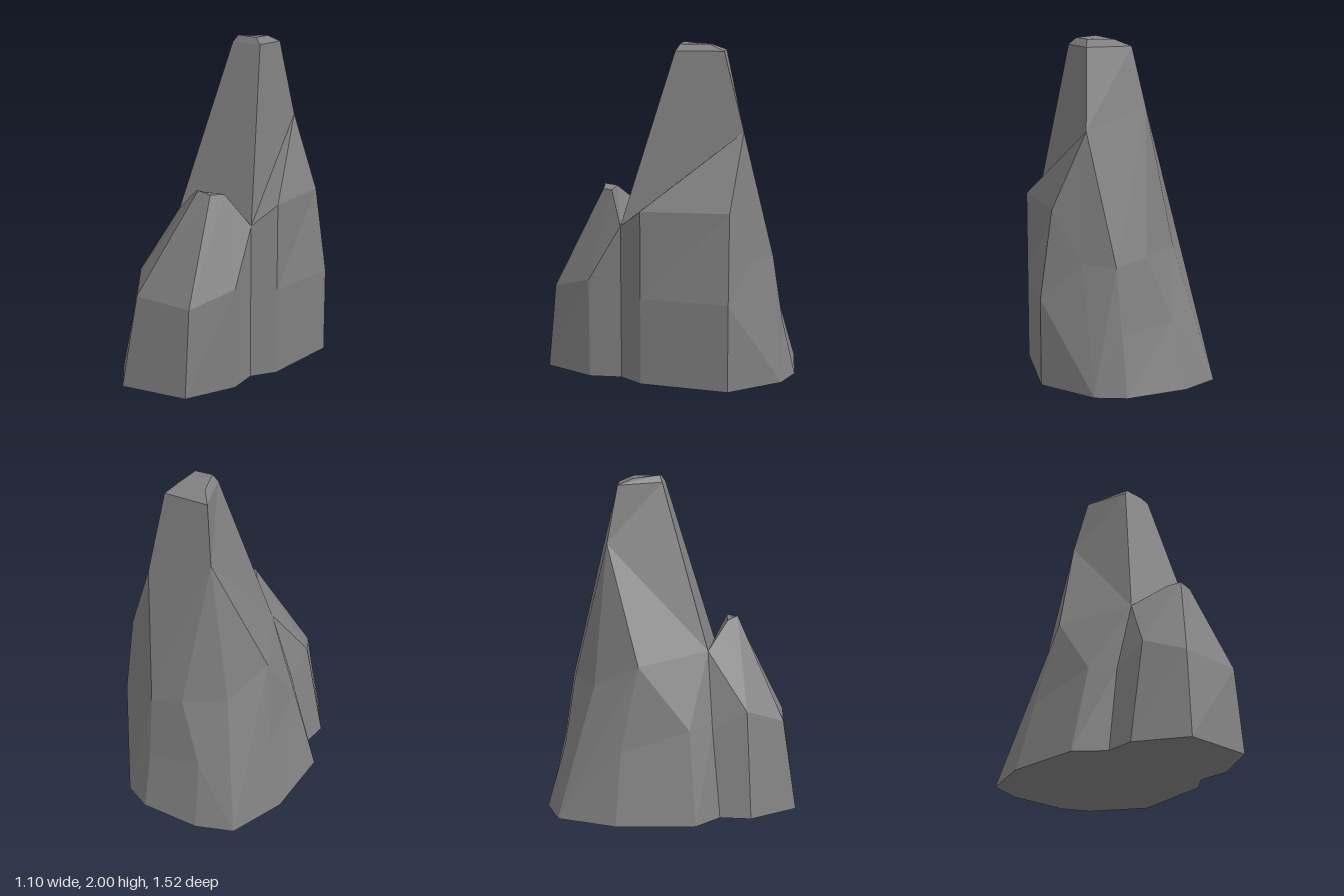
import * as THREE from 'three';

// Lofts vertical ribs (base to top, ordered counter-clockwise from above)
// into a closed, faceted solid. Repeated points collapse quads to triangles.
function loftRibs(ribs) {
  const positions = [];
  const same = (a, b) => a.every((v, i) => Math.abs(v - b[i]) < 1e-6);
  const tri = (a, b, c) => {
    if (!same(a, b) && !same(b, c) && !same(c, a)) positions.push(...a, ...b, ...c);
  };
  const centre = (ring) => [0, 1, 2].map((k) => ring.reduce((s, p) => s + p[k], 0) / ring.length);
  const top = ribs[0].length - 1;
  const bottomMid = centre(ribs.map((r) => r[0]));
  const topMid = centre(ribs.map((r) => r[top]));
  ribs.forEach((rib, i) => {
    const next = ribs[(i + 1) % ribs.length];
    for (let j = 0; j < top; j++) {
      tri(rib[j], next[j], next[j + 1]);
      tri(rib[j], next[j + 1], rib[j + 1]);
    }
    tri(bottomMid, next[0], rib[0]);
    tri(topMid, rib[top], next[top]);
  });
  const geometry = new THREE.BufferGeometry();
  geometry.setAttribute('position', new THREE.Float32BufferAttribute(positions, 3));
  geometry.computeVertexNormals();
  return geometry;
}

export function createModel() {
  const stone = new THREE.MeshStandardMaterial({ color: 0x808080, flatShading: true });
  stone.name = 'grey stone';

  // Summit: outer rim and the small bevelled cap inside it
  const rimFrontLeft = [0.24, 1.95, -0.035], capFrontLeft = [0.2, 1.99, -0.06];
  const rimBackLeft = [0.24, 1.95, -0.32], capBackLeft = [0.2, 1.99, -0.23];
  const rimBackRight = [-0.04, 1.95, -0.32], capBackRight = [0.03, 1.985, -0.23];
  const rimFrontRight = [0.05, 1.96, -0.055], capFrontRight = [0.08, 2, -0.07];
  const topFL = [rimFrontLeft, capFrontLeft];
  const topBL = [rimBackLeft, capBackLeft];
  const topBR = [rimBackRight, capBackRight];
  const topFR = [rimFrontRight, capFrontRight];

  // Shoulders where the tall spire leaves the body
  const shoulderLeft = [0.29, 1.49, -0.44];
  const shoulderRight = [-0.1, 1.61, -0.385];
  const flankRight = [-0.37, 0.92, -0.195];

  // Valleys shared by the spire and the front spur
  const valleyLeft = [[0.34, 0, 0.28], [0.34, 0.46, 0.28], [0.34, 0.93, 0.28]];
  const valleyRight = [[-0.41, 0, 0.29], [-0.31, 0.52, 0.245], [-0.17, 0.97, 0.22]];

  const backLeft = [0.34, 0, -0.68];
  const backRight = [-0.42, 0, -0.68];

  const spire = [
    [...valleyLeft, valleyLeft[2], ...topFL],
    [[0.45, 0, 0.15], [0.45, 0.52, 0.15], [0.45, 1.04, 0.15], valleyLeft[2], ...topFL],
    [[0.55, 0, -0.37], [0.55, 0.52, -0.37], [0.475, 1.04, -0.37], shoulderLeft, ...topBL],
    [backLeft, backLeft, [0.34, 0.74, -0.5], shoulderLeft, ...topBL],
    [[0.17, 0, -0.76], [0.17, 0.34, -0.68], [0.18, 0.73, -0.62], shoulderLeft, ...topBL],
    [[-0.2, 0, -0.76], [-0.16, 0.39, -0.65], [-0.02, 0.77, -0.595], shoulderRight, ...topBR],
    [backRight, backRight, [-0.25, 0.78, -0.46], shoulderRight, ...topBR],
    [[-0.55, 0, -0.33], [-0.45, 0.42, -0.3], flankRight, shoulderRight, ...topBR],
    [[-0.55, 0, 0.14], [-0.4, 0.54, 0.105], flankRight, shoulderRight, ...topBR],
    [...valleyRight, valleyRight[2], ...topFR],
  ];

  // Low spur: base point, bend and summit point of each rib
  const spurRib = (base, bend, summit) => [base, bend, bend, summit];
  const summitRight = [0.01, 1.12, 0.345];
  const summitLeft = [0.2, 1.12, 0.35];
  const spur = [
    [...valleyRight, summitRight],
    spurRib([-0.43, 0, 0.475], [-0.31, 0.63, 0.45], summitRight),
    spurRib([-0.26, 0, 0.76], [-0.2, 0.54, 0.68], [0.06, 1.14, 0.41]),
    spurRib([0.16, 0, 0.76], [0.16, 0.515, 0.71], [0.14, 1.12, 0.41]),
    spurRib([0.335, 0, 0.475], [0.335, 0.6, 0.475], summitLeft),
    [...valleyLeft, summitLeft],
  ];

  const model = new THREE.Group();
  model.name = 'rock';
  for (const [name, ribs] of [['tallSpire', spire], ['frontSpur', spur]]) {
    const mesh = new THREE.Mesh(loftRibs(ribs), stone);
    mesh.name = name;
    model.add(mesh);
  }
  return model;
}
